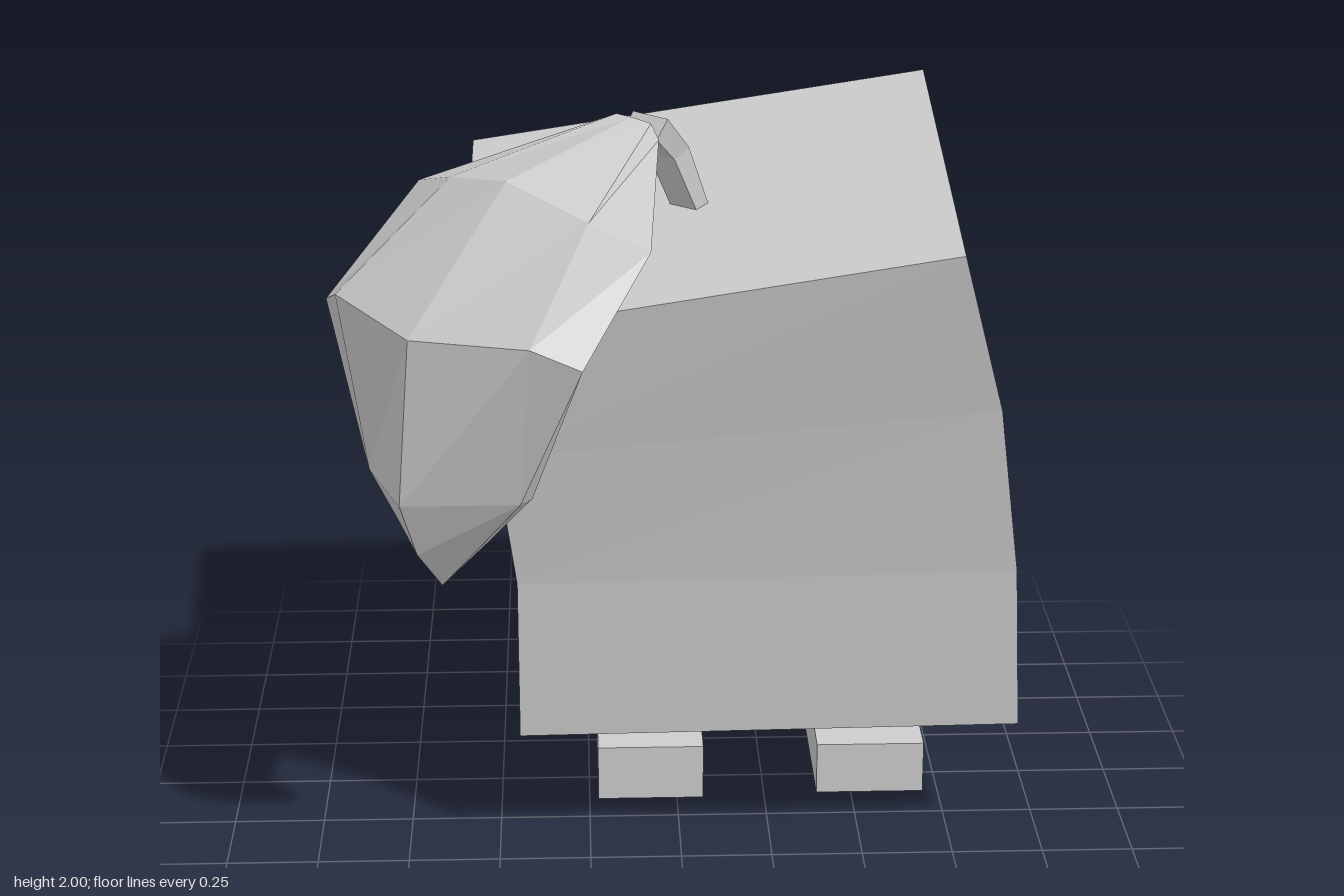
import * as THREE from 'three';

const material = new THREE.MeshStandardMaterial({ color: 0xcccccc, flatShading: true });

// Skins cross-sections listed bottom to top, each anticlockwise seen from above.
// A one-point section closes to a tip; wider ends get a flat cap.
function loft(name, rings) {
  const pos = [];
  const n = Math.max(...rings.map((r) => r.length));
  const at = (r, j) => r[j % r.length];
  const tri = (a, b, c) => {
    if (a !== b && b !== c && c !== a) pos.push(...a, ...b, ...c);
  };
  for (let i = 0; i < rings.length - 1; i++) {
    const lo = rings[i], hi = rings[i + 1];
    for (let j = 0; j < n; j++) {
      const k = (j + 1) % n;
      tri(at(lo, j), at(lo, k), at(hi, k));
      tri(at(lo, j), at(hi, k), at(hi, j));
    }
  }
  const first = rings[0], last = rings[rings.length - 1];
  for (let j = 1; j < n - 1; j++) {
    tri(at(first, 0), at(first, j + 1), at(first, j));
    tri(at(last, 0), at(last, j), at(last, j + 1));
  }
  const geo = new THREE.BufferGeometry();
  geo.setAttribute('position', new THREE.Float32BufferAttribute(pos, 3));
  geo.computeVertexNormals();
  const mesh = new THREE.Mesh(geo, material);
  mesh.name = name;
  return mesh;
}

// L-shaped leg with a toe pointing forward
function foot(name, xRight, width, lift) {
  const profile = new THREE.Shape([
    [-0.40, lift], [0.14, lift], [0.14, 0.16], [-0.10, 0.165], [-0.11, 0.39], [-0.40, 0.425],
  ].map(([z, y]) => new THREE.Vector2(z, y)));
  const geo = new THREE.ExtrudeGeometry(profile, { depth: width, bevelEnabled: false });
  geo.rotateY(-Math.PI / 2);
  const mesh = new THREE.Mesh(geo, material);
  mesh.position.x = xRight;
  mesh.name = name;
  return mesh;
}

// Square stem section across the diagonal the leaf hangs along
function stemRing([x, y, z], half, thick, tilt) {
  return [[-1, 1], [1, 1], [1, -1], [-1, -1]].map(([w, d]) => [
    x + w * half - d * thick, y - d * tilt, z + w * half + d * thick,
  ]);
}

export function createModel() {
  const group = new THREE.Group();

  // Leaning, bent block: front left, front right, back right, back left corners
  group.add(loft('body', [
    [[-0.44, 0.335, 0.42], [0.93, 0.35, 0.42], [0.93, 0.49, -0.94], [-0.43, 0.44, -0.94]],
    [[-0.44, 0.80, 0.455], [0.905, 0.82, 0.455], [0.915, 0.97, -0.87], [-0.44, 0.92, -0.88]],
    [[-0.49, 1.18, 0.51], [0.84, 1.30, 0.52], [0.85, 1.45, -0.80], [-0.49, 1.31, -0.82]],
    [[-0.57, 1.54, 0.57], [0.72, 1.75, 0.605], [0.75, 1.915, -0.735], [-0.57, 1.70, -0.79]],
  ]));

  group.add(foot('rightFoot', 0.075, 0.30, 0));
  group.add(foot('leftFoot', 0.705, 0.305, 0.01));

  // Stem bending over from the top of the body
  group.add(loft('stem', [
    stemRing([0.04, 1.71, -0.04], 0.035, 0.015, 0.01),
    stemRing([-0.02, 1.88, 0.02], 0.035, 0.02, 0.012),
    stemRing([-0.085, 1.97, 0.105], 0.045, 0.015, 0.025),
  ]));

  // Thick drooping leaf, tip to stem: five outer points, then the inner middle
  group.add(loft('leaf', [
    [[-0.63, 0.89, 0.67]],
    [[-0.75, 1.07, 0.54], [-0.74, 1.05, 0.62], [-0.69, 1.0, 0.73],
      [-0.52, 1.04, 0.76], [-0.50, 1.04, 0.73], [-0.62, 1.03, 0.60]],
    [[-0.84, 1.17, 0.40], [-0.82, 1.16, 0.52], [-0.73, 1.15, 0.77],
      [-0.42, 1.18, 0.845], [-0.39, 1.18, 0.80], [-0.60, 1.18, 0.57]],
    [[-0.935, 1.55, 0.27], [-0.90, 1.605, 0.41], [-0.70, 1.575, 0.71],
      [-0.39, 1.61, 0.905], [-0.26, 1.565, 0.94], [-0.58, 1.53, 0.58]],
    [[-0.69, 1.82, 0.08], [-0.60, 1.87, 0.235], [-0.45, 1.915, 0.45],
      [-0.24, 1.85, 0.615], [-0.085, 1.80, 0.71], [-0.37, 1.80, 0.38]],
    [[-0.15, 1.96, 0.075], [-0.16, 2.0, 0.09], [-0.12, 2.0, 0.13],
      [-0.07, 1.99, 0.16], [-0.05, 1.95, 0.18], [-0.10, 1.94, 0.12]],
  ]));

  return group;
}
